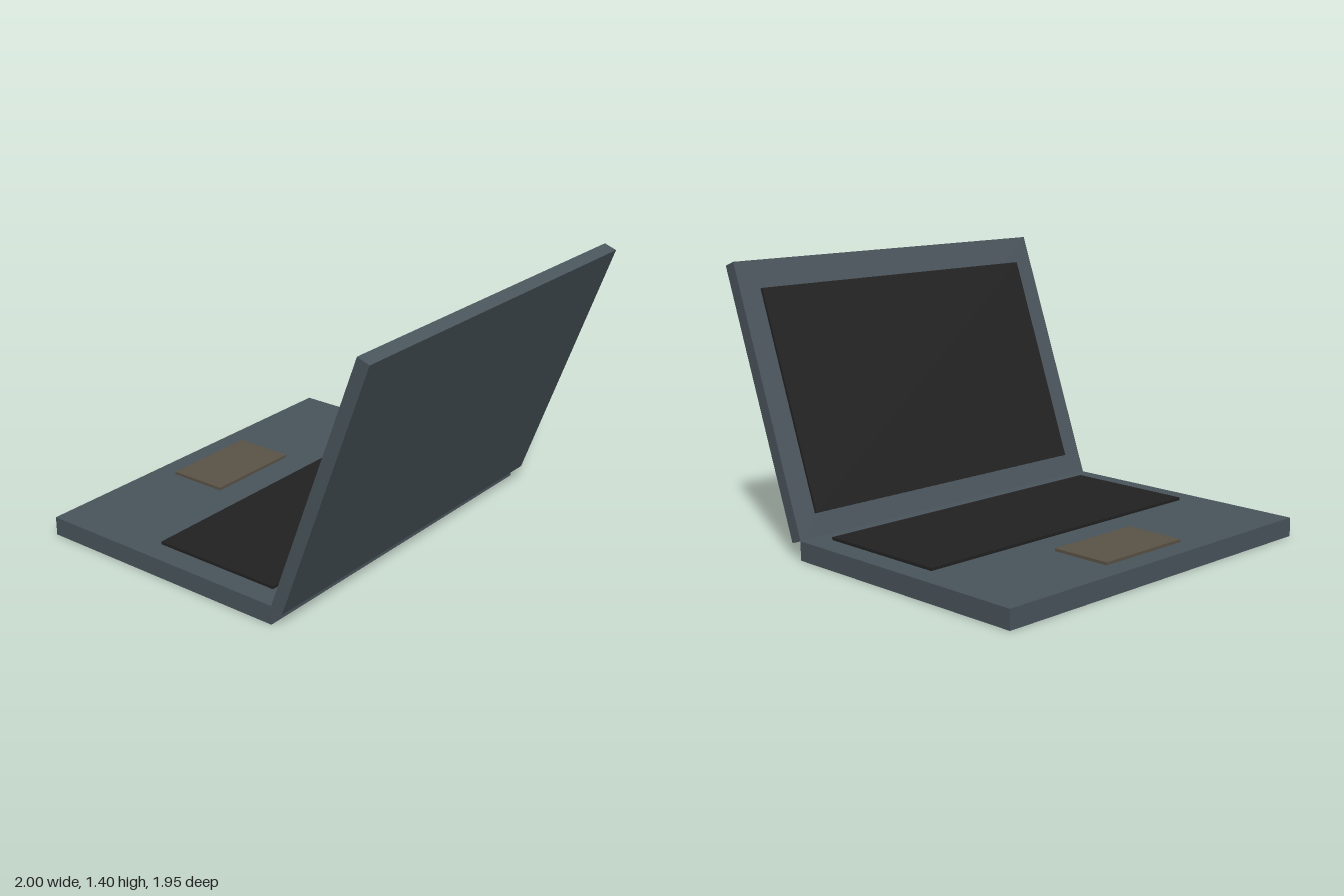
import * as THREE from 'three';

export function createModel() {
  const model = new THREE.Group();
  model.name = 'laptop';

  const material = (name, color) => {
    const m = new THREE.MeshStandardMaterial({ color });
    m.name = name;
    return m;
  };
  const slate = material('slate casing', 0x4a555c);
  const black = material('black panel', 0x222222);
  const taupe = material('taupe touchpad', 0x5b5347);

  const box = (parent, name, mat, size, position) => {
    const mesh = new THREE.Mesh(new THREE.BoxGeometry(...size), mat);
    mesh.name = name;
    mesh.position.set(...position);
    parent.add(mesh);
    return mesh;
  };

  // Base with its raised keyboard and touchpad
  const baseTop = 0.096, raise = 0.0145;
  box(model, 'base', slate, [2, baseTop, 1.41], [0, baseTop / 2, -0.27]);
  box(model, 'keyboard', black, [1.76, raise, 0.704], [0, baseTop + raise / 2, -0.008]);
  box(model, 'touchpad', taupe, [0.53, raise, 0.32], [0, baseTop + raise / 2, -0.698]);

  // Lid hinged on the base's edge, leaning back 20 degrees; the screen faces -z
  const lid = new THREE.Group();
  lid.name = 'lid';
  lid.position.set(0, baseTop, 0.435);
  lid.rotation.x = THREE.MathUtils.degToRad(20);
  model.add(lid);
  const height = 1.383, thickness = 0.067;
  box(lid, 'lidPanel', slate, [2, height, thickness], [0, height / 2, thickness / 2]);
  box(lid, 'screen', black, [1.76, 1.125, 0.0135], [0, 0.676, -0.00675]);

  return model;
}
